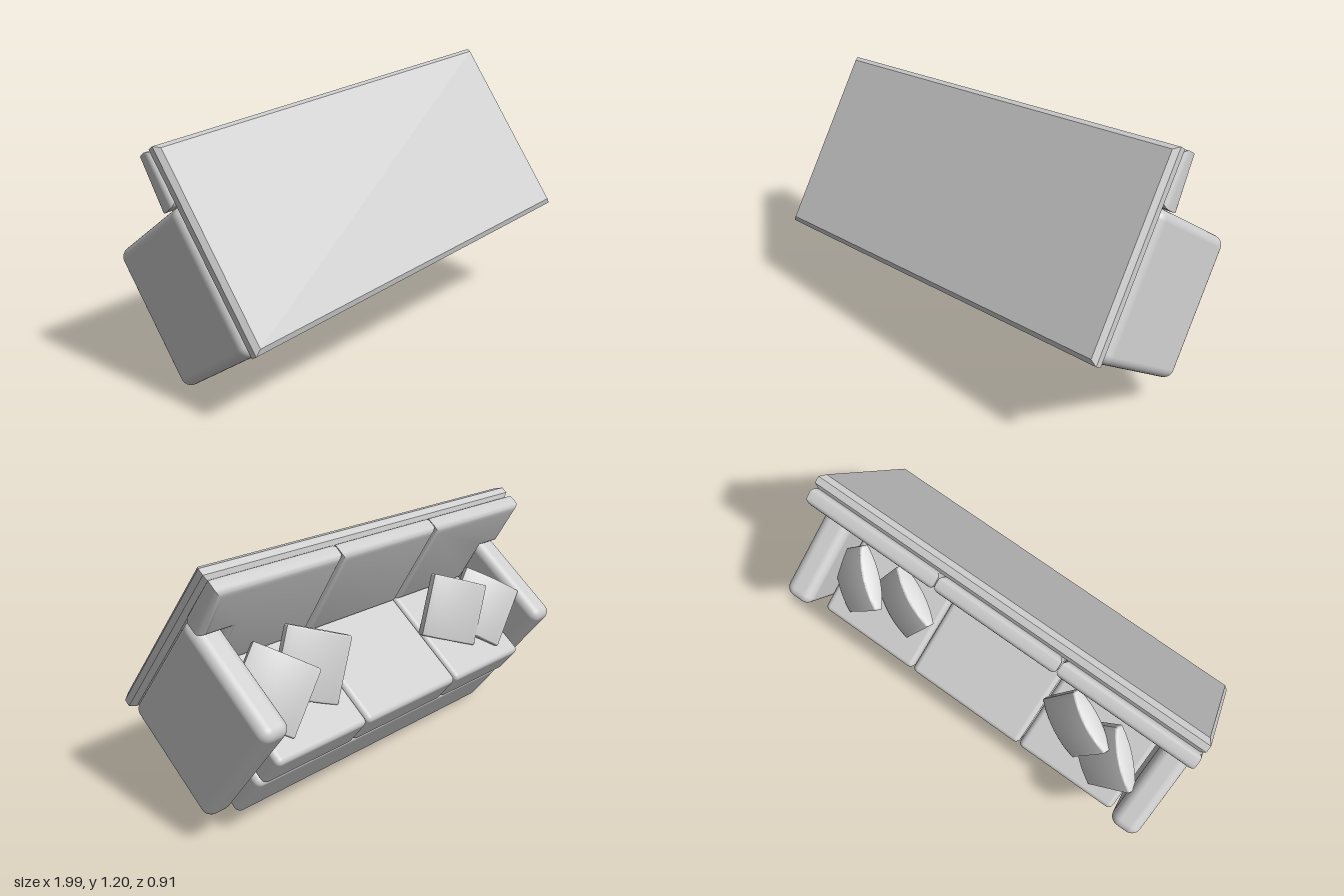
import * as THREE from 'three';
import { toCreasedNormals } from 'three/addons/utils/BufferGeometryUtils.js';
import { RoundedBoxGeometry } from 'three/addons/geometries/RoundedBoxGeometry.js';

const fabric = new THREE.MeshStandardMaterial({ color: 0xcccccc });
fabric.name = 'fabric';

const MID = 0.042; // centre of the sofa along its length
const HALF = 0.963; // half of its length

function add(parent, name, geometry) {
  const mesh = new THREE.Mesh(geometry, fabric);
  mesh.name = name;
  parent.add(mesh);
  return mesh;
}

// Rounded box given by its limits along length, height and depth
function softBox(parent, name, [x0, x1], [y0, y1], [z0, z1], r) {
  const geo = new RoundedBoxGeometry(x1 - x0, y1 - y0, z1 - z0, 4, r);
  const mesh = add(parent, name, geo);
  mesh.position.set((x0 + x1) / 2, (y0 + y1) / 2, (z0 + z1) / 2);
  return mesh;
}

// Outline extruded to a full depth, with the bevel kept inside the outline
function beveled(points, depth, r, segments) {
  const shape = new THREE.Shape(points.map(([x, y]) => new THREE.Vector2(x, y)));
  return new THREE.ExtrudeGeometry(shape, {
    depth: depth - 2 * r, bevelThickness: r, bevelSize: r, bevelOffset: -r,
    bevelSegments: segments, curveSegments: 12,
  }).translate(0, 0, r);
}

// Back cushion: flat behind, thicker towards the seat
function backCushion(parent, name, points) {
  const back = 0.54, depth = 0.11;
  const geo = beveled(points, depth, 0.032, 5).translate(0, 0, back - depth);
  const p = geo.attributes.position;
  for (let i = 0; i < p.count; i++) {
    const thickness = 0.11 - (p.getY(i) - 0.755) * 0.136;
    p.setZ(i, back - (back - p.getZ(i)) * thickness / depth);
  }
  add(parent, name, toCreasedNormals(geo, 0.6));
}

// Throw pillow: a lens-shaped section swept upwards
function pillowGeometry(size) {
  const h = size / 2, edge = 0.018, bulge = 0.065;
  const shape = new THREE.Shape();
  shape.moveTo(-h, -edge);
  shape.quadraticCurveTo(0, -bulge, h, -edge);
  shape.lineTo(h, edge);
  shape.quadraticCurveTo(0, bulge, -h, edge);
  const r = 0.008;
  const geo = new THREE.ExtrudeGeometry(shape, {
    depth: size - 2 * r, bevelThickness: r, bevelSize: r, bevelOffset: -r,
    bevelSegments: 3, curveSegments: 14,
  });
  geo.translate(0, 0, r - h).rotateX(-Math.PI / 2);
  return toCreasedNormals(geo, 0.6);
}

export function createModel() {
  const model = new THREE.Group();
  model.name = 'sofa';
  const sofa = new THREE.Group();
  sofa.name = 'tiltedSofa';
  model.add(sofa);

  // Rear panel with chamfered edges
  const panel = beveled(
    [[MID - HALF, 0.1], [MID + HALF, 0.1], [MID + HALF, 0.975], [MID - HALF, 0.975]], 0.072, 0.02, 1);
  add(sofa, 'backPanel', toCreasedNormals(panel, 0.3)).position.z = 0.536;

  // Base and arms
  softBox(sofa, 'base', [MID - 0.823, MID + 0.823], [0.105, 0.36], [-0.07, 0.535], 0.03);
  softBox(sofa, 'rightArm', [MID - HALF, MID - 0.825], [0.105, 0.742], [-0.035, 0.537], 0.045);
  softBox(sofa, 'leftArm', [MID + 0.825, MID + HALF], [0.105, 0.742], [-0.035, 0.537], 0.045);

  // Seat cushions, the middle one wider
  const cuts = [-0.823, -0.305, 0.305, 0.823];
  for (let i = 0; i < 3; i++) {
    softBox(sofa, 'seatCushion', [MID + cuts[i] + 0.002, MID + cuts[i + 1] - 0.002],
      [0.365, 0.535], [-0.078, 0.5], 0.025);
  }

  // Back cushions, the outer ones reaching over the arms
  const low = 0.525, step = 0.743, top = 0.98;
  backCushion(sofa, 'middleBackCushion',
    [[MID - 0.302, low], [MID + 0.302, low], [MID + 0.302, top], [MID - 0.302, top]]);
  for (const side of [-1, 1]) {
    const outline = [[0.306, low], [0.823, low], [0.823, step], [HALF, step], [HALF, top], [0.306, top]]
      .map(([x, y]) => [MID + side * x, y]);
    backCushion(sofa, 'outerBackCushion', side < 0 ? outline.reverse() : outline);
  }

  // Throw pillows: position, turn and recline
  const pillow = pillowGeometry(0.295);
  const places = [
    [-0.61, 0.645, 0.165, 46, 50], [-0.43, 0.64, 0.205, 30, 46],
    [0.515, 0.635, 0.212, 30, 46], [0.76, 0.635, 0.175, 46, 50],
  ];
  for (const [x, y, z, turn, recline] of places) {
    const mesh = add(sofa, 'throwPillow', pillow);
    mesh.rotation.order = 'YXZ';
    mesh.rotation.set(THREE.MathUtils.degToRad(recline), -THREE.MathUtils.degToRad(turn), 0);
    mesh.position.set(x, y, z);
    mesh.translateZ(0.012);
  }

  // Tilt the whole sofa so that its rear panel faces forwards and up
  const along = new THREE.Vector3(0.9972, 0.0705, 0.0245).normalize();
  const behind = along.clone().cross(new THREE.Vector3(-0.042, 0.818, -0.574)).normalize();
  const up = behind.clone().cross(along);
  sofa.quaternion.setFromRotationMatrix(new THREE.Matrix4().makeBasis(along, up, behind));
  return model;
}
